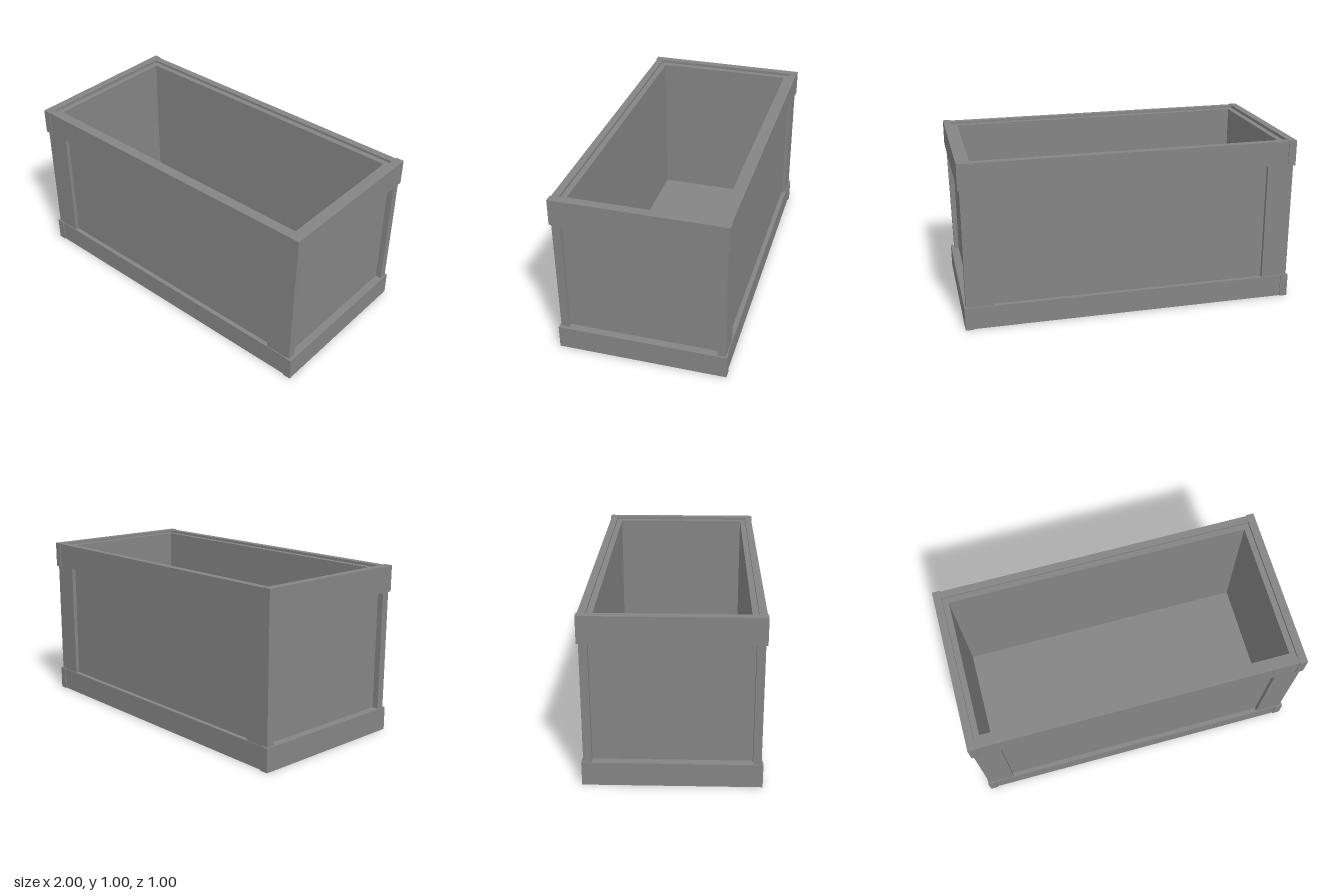
import * as THREE from 'three';

export function createModel() {
  const crate = new THREE.Group();
  crate.name = 'crate';
  const material = new THREE.MeshStandardMaterial({ color: 0x858585 });

  // Board given by its limits on each axis
  function board(name, x0, x1, y0, y1, z0, z1) {
    const mesh = new THREE.Mesh(new THREE.BoxGeometry(x1 - x0, y1 - y0, z1 - z0), material);
    mesh.position.set((x0 + x1) / 2, (y0 + y1) / 2, (z0 + z1) / 2);
    mesh.name = name;
    crate.add(mesh);
    return mesh;
  }

  // Inner open box: floor and four panels
  const px = 0.953, pz = 0.468, ix = 0.918, iz = 0.418, low = 0.006, high = 0.987;
  board('floor', -ix, ix, low, 0.05, -iz, iz);
  board('frontPanel', -px, px, low, high, iz, pz);
  board('backPanel', -px, px, low, high, -pz, -iz);
  board('leftPanel', ix, px, low, high, -iz, iz);
  board('rightPanel', -px, -ix, low, high, -iz, iz);

  // Rails around the bottom and the top; the end rails overlap the long ones
  for (const [level, y0, y1] of [['bottom', 0, 0.14], ['top', 0.85, 1.005]]) {
    board(level + 'FrontRail', -0.955, 0.955, y0 + 0.002, y1 - 0.003, 0.452, 0.495);
    board(level + 'BackRail', -0.955, 0.955, y0 + 0.002, y1 - 0.003, -0.495, -0.452);
    board(level + 'LeftRail', 0.953, 1, y0, y1, -0.5, 0.5);
    board(level + 'RightRail', -1, -0.953, y0, y1, -0.5, 0.5);
  }

  // Upright corner boards on the front and back, between the rails
  for (const sx of [-1, 1]) {
    for (const sz of [-1, 1]) {
      const name = (sz > 0 ? 'front' : 'back') + (sx > 0 ? 'Left' : 'Right') + 'Post';
      const post = board(name, -0.08, 0.08, 0.13, 0.86, -0.0235, 0.0235);
      post.position.x = sx * 0.91;
      post.position.z = sz * 0.4665;
      // One hand-fitted board leans slightly
      if (sx > 0 && sz > 0) {
        post.position.x = 0.905;
        post.rotation.z = -0.014;
      }
    }
  }
  return crate;
}
